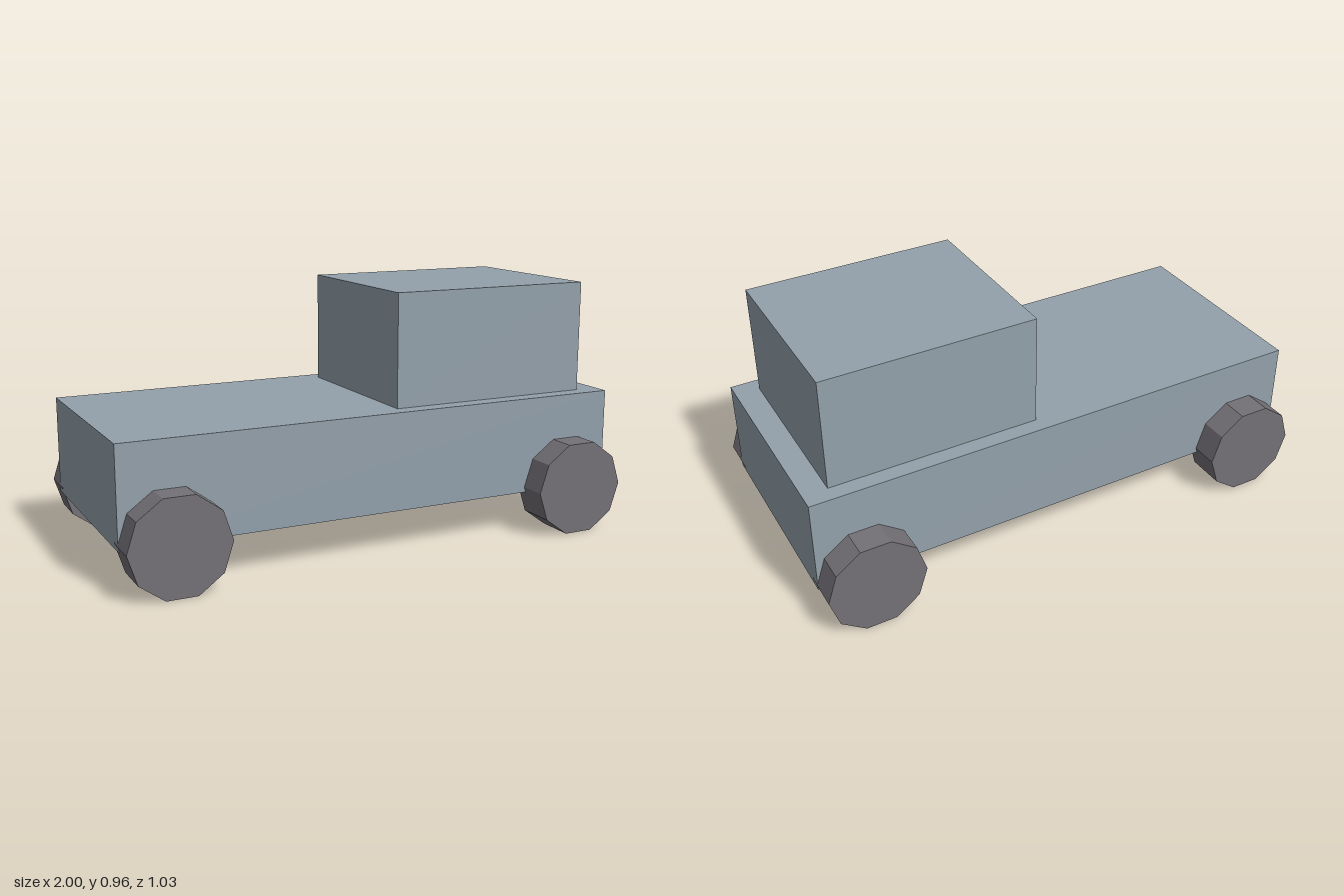
import * as THREE from 'three';

export function createModel() {
  const model = new THREE.Group();
  model.name = 'truck';

  const bodyPaint = new THREE.MeshStandardMaterial({ color: 0x93a1ab });
  bodyPaint.name = 'blue grey paint';
  const rubber = new THREE.MeshStandardMaterial({ color: 0x747177 });
  rubber.name = 'dark grey rubber';
  rubber.flatShading = true;

  const add = (name, geometry, material, x, y, z) => {
    const mesh = new THREE.Mesh(geometry, material);
    mesh.name = name;
    mesh.position.set(x, y, z);
    model.add(mesh);
  };

  // Long flat chassis with a box cab towards the +x end
  add('chassis', new THREE.BoxGeometry(1.996, 0.373, 0.814), bodyPaint, 0, 0.3435, 0);
  add('cab', new THREE.BoxGeometry(0.815, 0.43, 0.69), bodyPaint, 0.4975, 0.745, 0);

  // Ten-sided wheels, resting on a flat side, with a corner pointing along x
  const radius = 0.187;
  const wheel = new THREE.CylinderGeometry(radius, radius, 0.148, 10, 1, false, Math.PI / 2);
  wheel.rotateX(Math.PI / 2);
  const axleHeight = radius * Math.cos(Math.PI / 10);
  for (const [end, x] of [['front', 1], ['rear', -1]]) {
    for (const [side, z] of [['Near', 1], ['Far', -1]]) {
      add(`${end}${side}Wheel`, wheel, rubber, x * (1 - radius), axleHeight, z * 0.439);
    }
  }
  return model;
}
